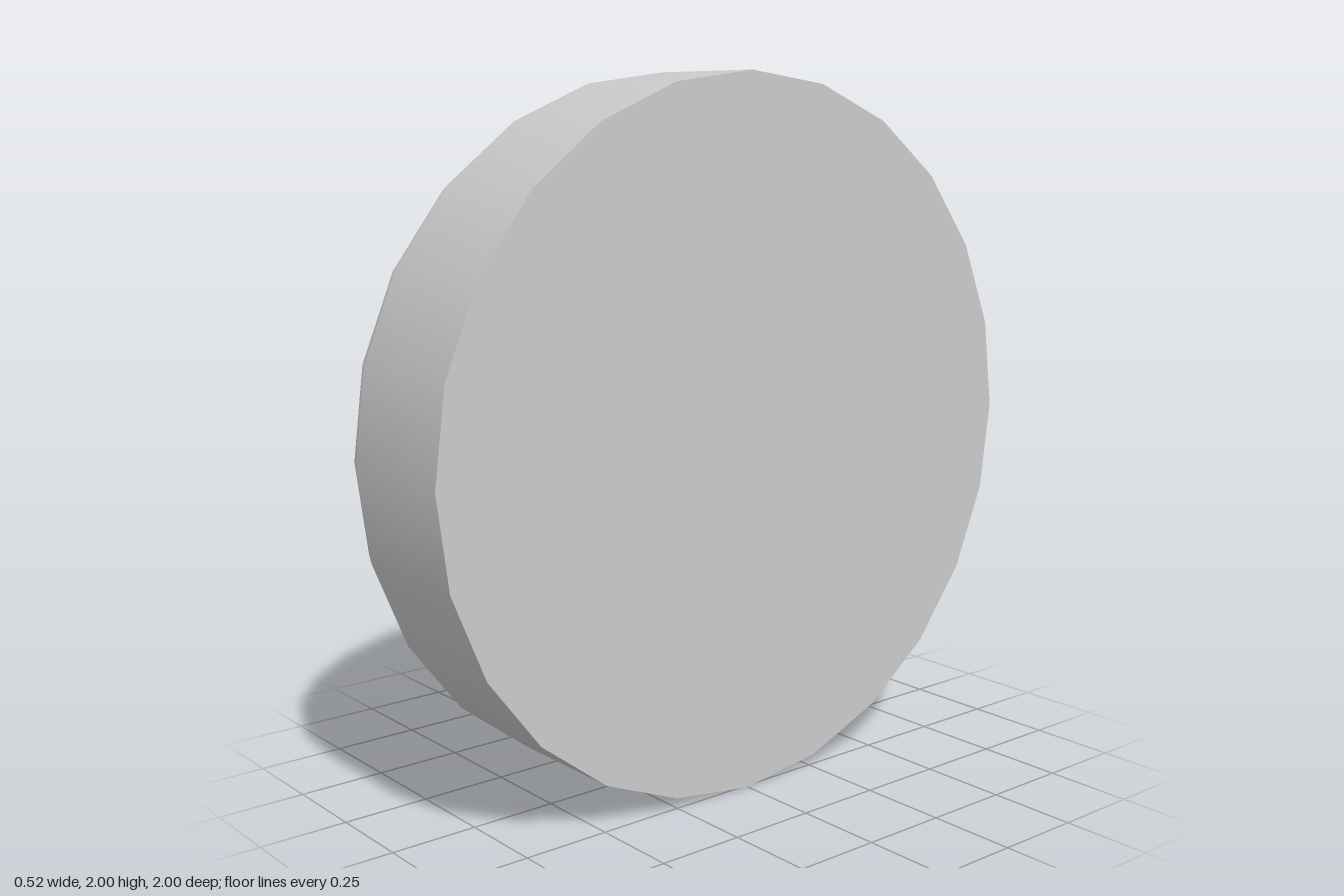
import * as THREE from 'three';

const SIDES = 24;

// Wheel lying on its side, axle along x. Profiles are [radius, distance towards -x].
// Each profile is smooth along its length; separate profiles meet in sharp edges.
const parts = {
  innerCap: [[0, -0.26], [1, -0.26]],
  tread: [[1, -0.26], [1, 0.12], [0.97, 0.185]],
  shoulder: [[0.97, 0.185], [0.9, 0.21]],
  sidewall: [[0.9, 0.21], [0.565, 0.21]],
  recessWall: [[0.565, 0.21], [0.56, 0.15]],
  recessFloor: [[0.56, 0.15], [0.495, 0.15]],
  hubOuterSlope: [[0.495, 0.15], [0.41, 0.265]],
  hubDish: [[0.41, 0.265], [0.29, 0.19]],
  axleCapSlope: [[0.29, 0.19], [0.17, 0.235]],
  axleCapFace: [[0.17, 0.235], [0, 0.235]],
};

export function createModel() {
  const model = new THREE.Group();
  model.name = 'wheel';
  const material = new THREE.MeshStandardMaterial({ color: 0xcccccc });

  for (const [name, profile] of Object.entries(parts)) {
    const points = profile.map(([r, h]) => new THREE.Vector2(r, h));
    const geometry = new THREE.LatheGeometry(points, SIDES);
    geometry.rotateZ(Math.PI / 2); // spin axis up -> towards -x
    const mesh = new THREE.Mesh(geometry, material);
    mesh.name = name;
    mesh.position.y = 1;
    model.add(mesh);
  }
  return model;
}
